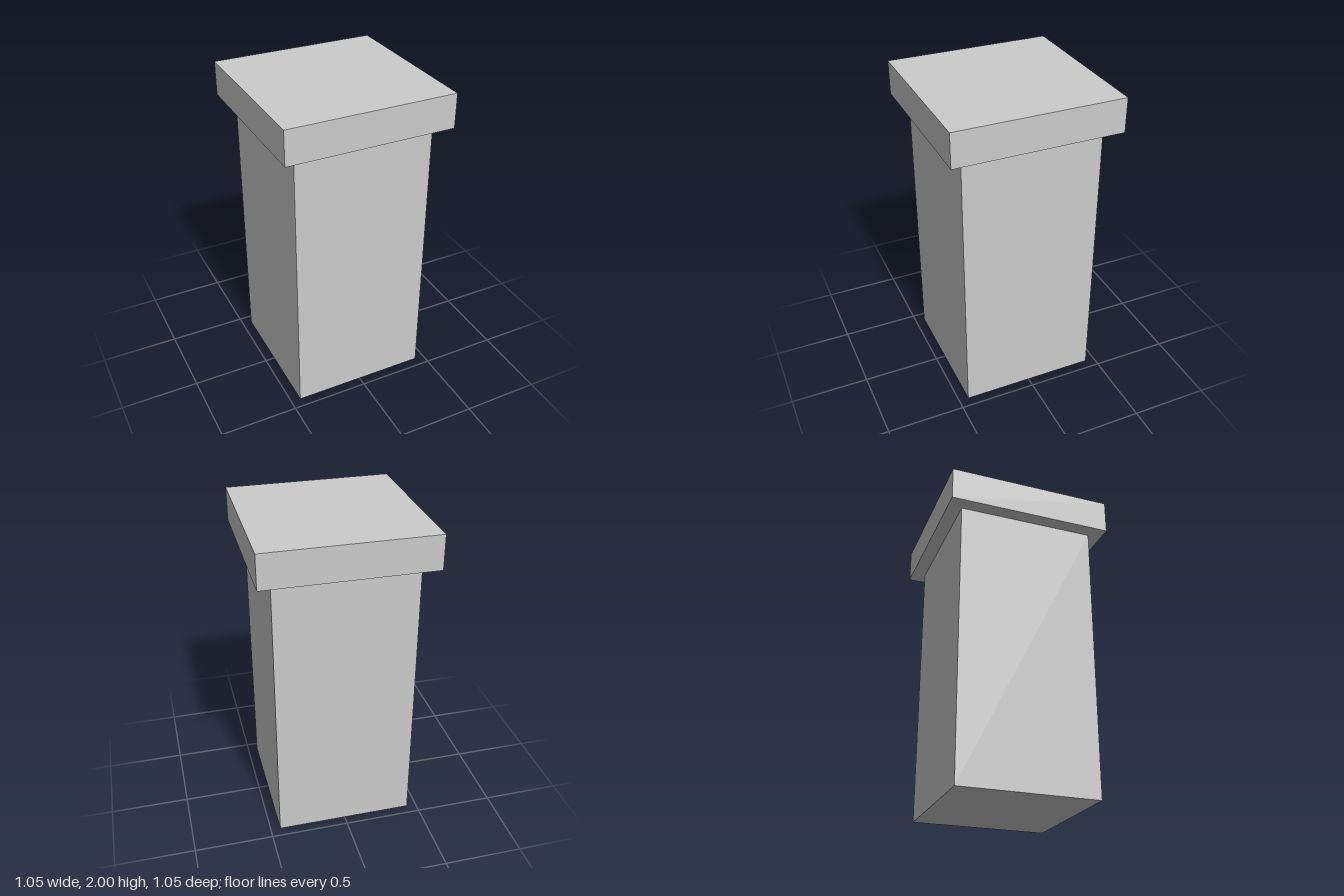
import * as THREE from 'three';

const CAP_BOTTOM = 1.785;
const TOP = 2;

export function createModel() {
  const group = new THREE.Group();
  group.name = 'pillar';
  const material = new THREE.MeshStandardMaterial({ color: 0xcccccc, flatShading: true });

  // Square block between two heights
  const addBlock = (name, width, bottom, top) => {
    const mesh = new THREE.Mesh(new THREE.BoxGeometry(width, top - bottom, width), material);
    mesh.name = name;
    mesh.position.y = (bottom + top) / 2;
    group.add(mesh);
  };

  addBlock('shaft', 0.875, 0, CAP_BOTTOM);
  addBlock('cap', 1.053, CAP_BOTTOM, TOP);

  return group;
}
